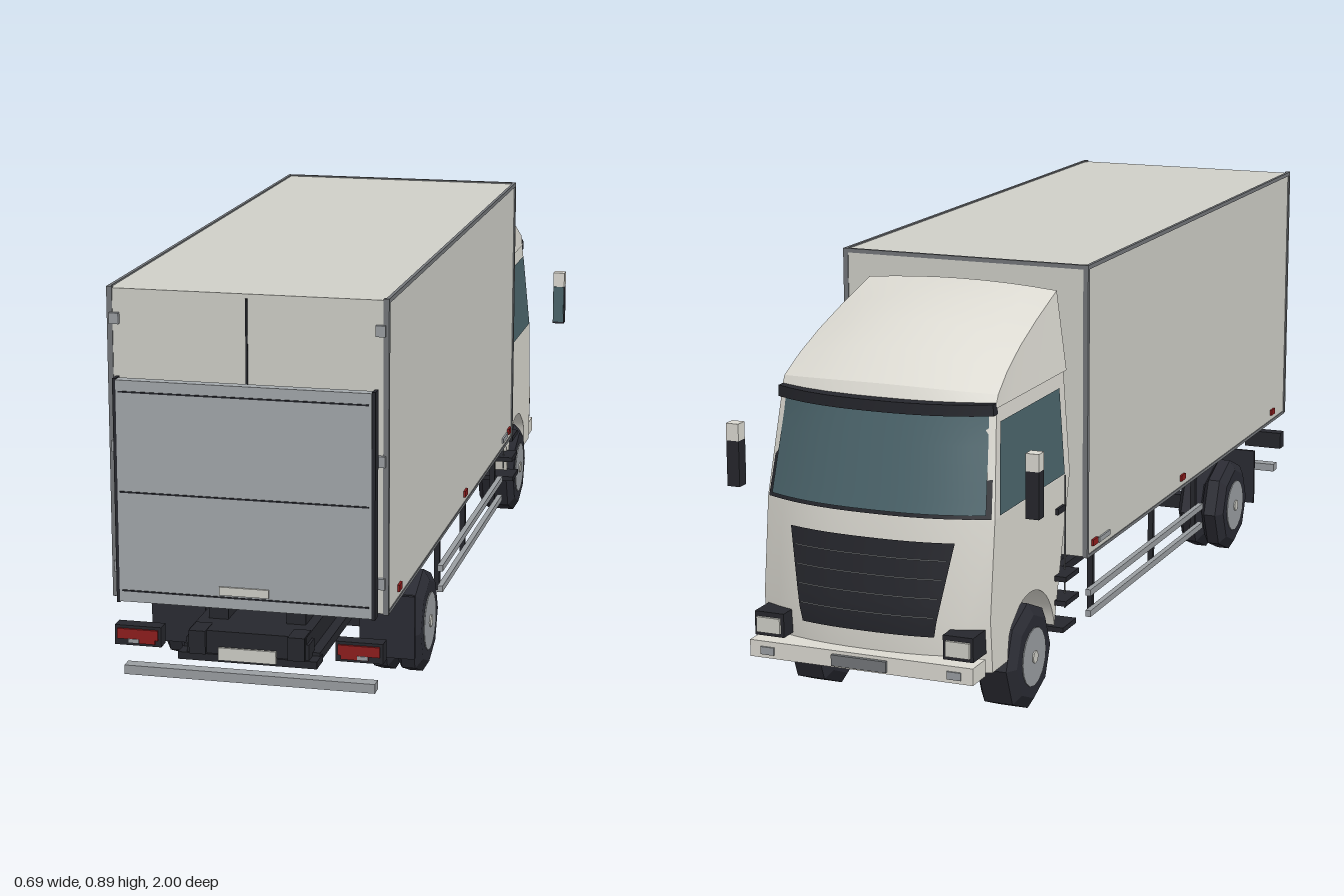
import * as THREE from 'three';
import { toCreasedNormals } from 'three/addons/utils/BufferGeometryUtils.js';

const mat = (name, color, extra = {}) => Object.assign(new THREE.MeshStandardMaterial({ color, ...extra }), { name });

export function createModel() {
  const root = new THREE.Group();
  root.name = 'boxTruck';
  const DS = { side: THREE.DoubleSide };
  const M = {
    body: mat('body panel', 0xcfcfc8),
    cab: mat('cab paint', 0xdcdad2, DS),
    lift: mat('tail lift grey', 0xa3a8ab),
    metal: mat('aluminium', 0x9a9ea2),
    trim: mat('trim grey', 0x74777a),
    dark: mat('dark plastic', 0x26272d, DS),
    tyre: mat('rubber', 0x2a2b33, { flatShading: true }),
    glass: mat('glass', 0x4b646b, DS),
    red: mat('lamp red', 0x8e1d1d),
  };
  const add = (name, geo, material, parent = root) => {
    const m = new THREE.Mesh(geo, material);
    m.name = name;
    parent.add(m);
    return m;
  };
  // box given by its limits on each axis
  const boxGeo = (x0, x1, y0, y1, z0, z1, seg = 1) =>
    new THREE.BoxGeometry(x1 - x0, y1 - y0, z1 - z0, seg, 1, 1)
      .translate((x0 + x1) / 2, (y0 + y1) / 2, (z0 + z1) / 2);
  const box = (name, m, ...lim) => add(name, boxGeo(...lim), m);
  const pair = (name, m, x0, x1, ...rest) => {
    box(name + 'Left', m, x0, x1, ...rest);
    box(name + 'Right', m, -x1, -x0, ...rest);
  };

  // Cab surface rules: rounded front, sides leaning in above the waist
  const clamp = THREE.MathUtils.clamp;
  const taper = (y) => 1 - 0.06 * clamp((y - 0.45) / 0.22, 0, 1);
  const line = [[0.14, -0.955], [0.25, -0.965], [0.45, -0.94], [0.67, -0.885]];
  const frontZ = (y) => {
    let i = 0;
    while (i < 2 && y > line[i + 1][0]) i++;
    const [[a, za], [b, zb]] = [line[i], line[i + 1]];
    return za + ((zb - za) * (y - a)) / (b - a);
  };
  const bend = (geo) => {
    const p = geo.attributes.position;
    for (let i = 0; i < p.count; i++) {
      const x = p.getX(i), y = p.getY(i), z = p.getZ(i);
      const k = clamp((-z - 0.82) / 0.08, 0, 1), q = Math.abs(x) / 0.25;
      p.setXYZ(i, x * taper(y), y, z + k * 0.05 * q ** 2.5);
    }
    geo.computeVertexNormals();
    return geo;
  };
  const extrudeCab = (shape) => toCreasedNormals(bend(
    new THREE.ExtrudeGeometry(shape, { depth: 0.5, steps: 12, bevelEnabled: false, curveSegments: 10 })
      .rotateY(Math.PI / 2).translate(-0.25, 0, 0)), 0.5);

  // Cab lower half with wheel arches
  const lower = new THREE.Shape();
  const a = Math.asin(0.025 / 0.135);
  lower.moveTo(0.49, 0.14);
  lower.absarc(0.71, 0.115, 0.135, Math.PI - a, a, true);
  lower.lineTo(0.955, 0.14);
  lower.lineTo(0.965, 0.25);
  lower.lineTo(0.94, 0.45);
  lower.lineTo(0.49, 0.45);
  add('cabLower', extrudeCab(lower), M.cab);
  const upper = new THREE.Shape([[0.49, 0.45], [0.94, 0.45], [0.885, 0.67], [0.49, 0.67]]
    .map(([u, v]) => new THREE.Vector2(u, v)));
  add('cabUpper', extrudeCab(upper), M.cab);

  // Thin panels following the cab front
  const frontPatch = (name, m, y0, y1, w0, w1, off) => {
    const geo = new THREE.PlaneGeometry(2, 1, 12, 6).rotateY(Math.PI);
    const p = geo.attributes.position;
    for (let i = 0; i < p.count; i++) {
      const t = p.getY(i) + 0.5, y = y0 + (y1 - y0) * t;
      p.setXYZ(i, p.getX(i) * (w0 + (w1 - w0) * t), y, frontZ(y) - off);
    }
    return add(name, bend(geo), m);
  };
  frontPatch('windscreenFrame', M.dark, 0.452, 0.66, 0.245, 0.245, 0.003);
  frontPatch('windscreen', M.glass, 0.46, 0.655, 0.236, 0.236, 0.006);
  frontPatch('grille', M.dark, 0.215, 0.405, 0.145, 0.18, 0.004);
  for (let i = 0; i < 4; i++) {
    const y = 0.255 + i * 0.038, w = 0.146 + i * 0.007;
    frontPatch('grilleSlat', M.trim, y, y + 0.003, w, w, 0.007);
  }
  add('sunVisor', bend(boxGeo(-0.25, 0.25, 0.652, 0.675, -0.912, -0.875, 12)), M.dark);

  // Side windows, handles and steps
  for (const s of [1, -1]) {
    const win = new THREE.ShapeGeometry(new THREE.Shape(
      [[0.525, 0.455], [0.872, 0.455], [0.838, 0.637], [0.525, 0.637]].map(([u, v]) => new THREE.Vector2(u, v))))
      .rotateY(Math.PI / 2);
    const p = win.attributes.position;
    for (let i = 0; i < p.count; i++) p.setX(i, s * (0.25 * taper(p.getY(i)) + 0.003));
    win.computeVertexNormals();
    add('sideWindow', win, M.glass);
  }
  pair('doorHandle', M.dark, 0.249, 0.256, 0.377, 0.39, -0.57, -0.53);
  pair('doorSeam', M.trim, 0.249, 0.2515, 0.16, 0.45, -0.519, -0.516);
  [[0.24, -0.5], [0.187, -0.5], [0.134, -0.515]].forEach(([y, z]) =>
    pair('cabStep', M.dark, 0.2, 0.275, y - 0.005, y + 0.006, z - 0.075, z));

  // Roof fairing lofted from crowned sections, rear to front: z, crown, edge height, edge half-width
  const stations = [[-0.477, 0.843, 0.832, 0.215], [-0.6, 0.828, 0.794, 0.22], [-0.7, 0.797, 0.759, 0.225],
    [-0.79, 0.756, 0.724, 0.23], [-0.872, 0.7, 0.69, 0.235], [-0.885, 0.672, 0.67, 0.235]];
  const N = 11, pos = [], idx = [];
  for (const [z, yc, ye, w] of stations) {
    for (let j = 0; j < N; j++) {
      const u = -1 + (2 * (j - 1)) / (N - 3), end = j === 0 || j === N - 1;
      const x = end ? Math.sign(j - 1) * 0.237 : u * w;
      const k = clamp((-z - 0.75) / 0.13, 0, 1) * 0.045;
      pos.push(x, end ? 0.665 : ye + (yc - ye) * (1 - u * u), z + k * Math.abs(x / 0.25) ** 2.5);
    }
  }
  for (let i = 0; i < stations.length - 1; i++) {
    for (let j = 0; j < N - 1; j++) {
      const q = i * N + j;
      idx.push(q, q + 1, q + N, q + 1, q + N + 1, q + N);
    }
  }
  for (let j = 1; j < N - 1; j++) idx.push(0, j + 1, j);
  // flip so faces point outward
  for (let i = 0; i < idx.length; i += 3) [idx[i + 1], idx[i + 2]] = [idx[i + 2], idx[i + 1]];
  const fairing = new THREE.BufferGeometry();
  fairing.setAttribute('position', new THREE.Float32BufferAttribute(pos, 3));
  fairing.setIndex(idx);
  add('roofFairing', toCreasedNormals(fairing, 0.5), M.cab);

  // Front bumper, plate and headlights
  add('frontBumper', boxGeo(-0.245, 0.245, 0.14, 0.175, -0.992, -0.93), M.cab);
  box('frontPlate', M.trim, -0.06, 0.06, 0.145, 0.168, -1, -0.991);
  pair('headlightHousing', M.dark, 0.175, 0.24, 0.182, 0.232, -0.978, -0.9);
  pair('headlightLens', M.body, 0.182, 0.234, 0.19, 0.222, -0.984, -0.977);
  pair('fogLamp', M.metal, 0.19, 0.22, 0.148, 0.164, -0.996, -0.99);

  // Mirrors
  pair('mirrorCap', M.cab, 0.315, 0.343, 0.556, 0.592, -0.89, -0.863);
  pair('mirrorHousing', M.dark, 0.315, 0.343, 0.46, 0.556, -0.89, -0.863);
  pair('mirrorGlass', M.glass, 0.316, 0.342, 0.465, 0.556, -0.864, -0.86);

  // Cargo box with edge trims
  box('cargoBox', M.body, -0.278, 0.278, 0.26, 0.884, -0.465, 0.958);
  for (const z of [-0.467, 0.95]) pair('cornerPost', M.trim, 0.27, 0.281, 0.258, 0.887, z, z + 0.01);
  pair('roofRail', M.trim, 0.274, 0.281, 0.878, 0.887, -0.46, 0.955);
  pair('sillRail', M.trim, 0.27, 0.28, 0.256, 0.263, -0.46, 0.955);
  box('frontHeader', M.trim, -0.278, 0.278, 0.878, 0.887, -0.467, -0.459);
  box('doorGap', M.dark, -0.002, 0.002, 0.27, 0.875, 0.955, 0.961);
  for (const y of [0.322, 0.568, 0.825]) pair('doorHinge', M.metal, 0.256, 0.275, y - 0.011, y + 0.011, 0.95, 0.967);
  for (const z of [0.85, 0.15, -0.42]) pair('sideMarker', M.red, 0.277, 0.283, 0.276, 0.29, z - 0.014, z + 0.014);
  pair('sidePlate', M.metal, 0.277, 0.282, 0.274, 0.285, -0.395, -0.33);

  // Tail lift
  box('tailLift', M.lift, -0.255, 0.255, 0.26, 0.71, 0.974, 0.996);
  pair('liftEdge', M.dark, 0.255, 0.262, 0.257, 0.712, 0.968, 0.994);
  for (const y of [0.283, 0.485, 0.687]) box('liftSeam', M.dark, -0.25, 0.25, y - 0.0015, y + 0.0015, 0.99, 0.998);
  box('liftLabelPlate', M.body, -0.05, 0.05, 0.288, 0.305, 0.99, 1);

  // Chassis
  box('chassisUpper', M.dark, -0.12, 0.12, 0.163, 0.205, -0.9, 0.975);
  box('chassisLower', M.dark, -0.14, 0.14, 0.146, 0.165, -0.94, 0.945);
  box('cabUnderbody', M.dark, -0.165, 0.165, 0.142, 0.262, -0.86, -0.5);
  box('rearCrossbar', M.dark, -0.142, 0.142, 0.143, 0.158, 0.93, 0.98);
  box('rearCrossMember', M.dark, -0.125, 0.125, 0.158, 0.19, 0.93, 0.975);
  pair('liftArm', M.dark, 0.084, 0.118, 0.158, 0.206, 0.93, 0.985);
  box('rearPlate', M.body, -0.058, 0.06, 0.148, 0.174, 0.979, 0.985);
  pair('boxSupport', M.dark, 0.06, 0.1, 0.2, 0.262, -0.45, 0.9);
  box('underrunBar', M.metal, -0.257, 0.257, 0.099, 0.118, 0.945, 0.972);
  pair('tailLampHousing', M.dark, 0.178, 0.274, 0.162, 0.203, 0.945, 0.975);
  pair('tailLamp', M.red, 0.184, 0.268, 0.176, 0.197, 0.974, 0.98);
  pair('tailLampInner', M.red, 0.19, 0.245, 0.168, 0.177, 0.974, 0.98);
  pair('reverseLamp', M.metal, 0.223, 0.245, 0.169, 0.177, 0.979, 0.982);
  pair('mudFlap', M.tyre, 0.165, 0.281, 0.08, 0.215, 0.698, 0.706);

  // Side guards
  pair('guardRailUpper', M.metal, 0.255, 0.267, 0.156, 0.17, -0.41, 0.34);
  pair('guardRailLower', M.metal, 0.255, 0.267, 0.109, 0.123, -0.41, 0.34);
  for (const z of [0.318, 0.02, -0.365]) pair('guardPost', M.dark, 0.244, 0.256, 0.108, 0.262, z - 0.006, z + 0.006);

  // Wheels: eight-sided tyres with bevelled shoulders and metal hubs
  const wheel = (name, z, s, tyres) => {
    const g = new THREE.Group();
    g.name = name;
    for (const [x0, x1] of tyres) {
      const prof = [[0, x0], [0.09, x0], [0.113, x0 + 0.014], [0.113, x1 - 0.014], [0.09, x1], [0, x1]]
        .map(([r, h]) => new THREE.Vector2(r, h));
      add('tyre', new THREE.LatheGeometry(prof, 8).rotateZ(-Math.PI / 2), M.tyre, g);
    }
    const out = tyres[tyres.length - 1][1];
    const disc = (n, r, h, m) => add(n, new THREE.CylinderGeometry(r, r, 0.02, 16)
      .rotateZ(Math.PI / 2).translate(out - 0.01 + h, 0, 0), m, g);
    disc('rim', 0.062, 0.002, M.metal);
    disc('hubCap', 0.013, 0.005, M.body);
    g.position.set(0, 0.113, z);
    g.rotation.y = s > 0 ? 0 : Math.PI;
    root.add(g);
  };
  for (const s of [1, -1]) {
    wheel('rearWheel', 0.548, s, [[0.165, 0.221], [0.224, 0.28]]);
    wheel('frontWheel', -0.71, s, [[0.168, 0.258]]);
  }
  box('rearAxle', M.dark, -0.18, 0.18, 0.095, 0.13, 0.53, 0.566);
  box('frontAxle', M.dark, -0.18, 0.18, 0.1, 0.145, -0.725, -0.695);
  return root;
}
